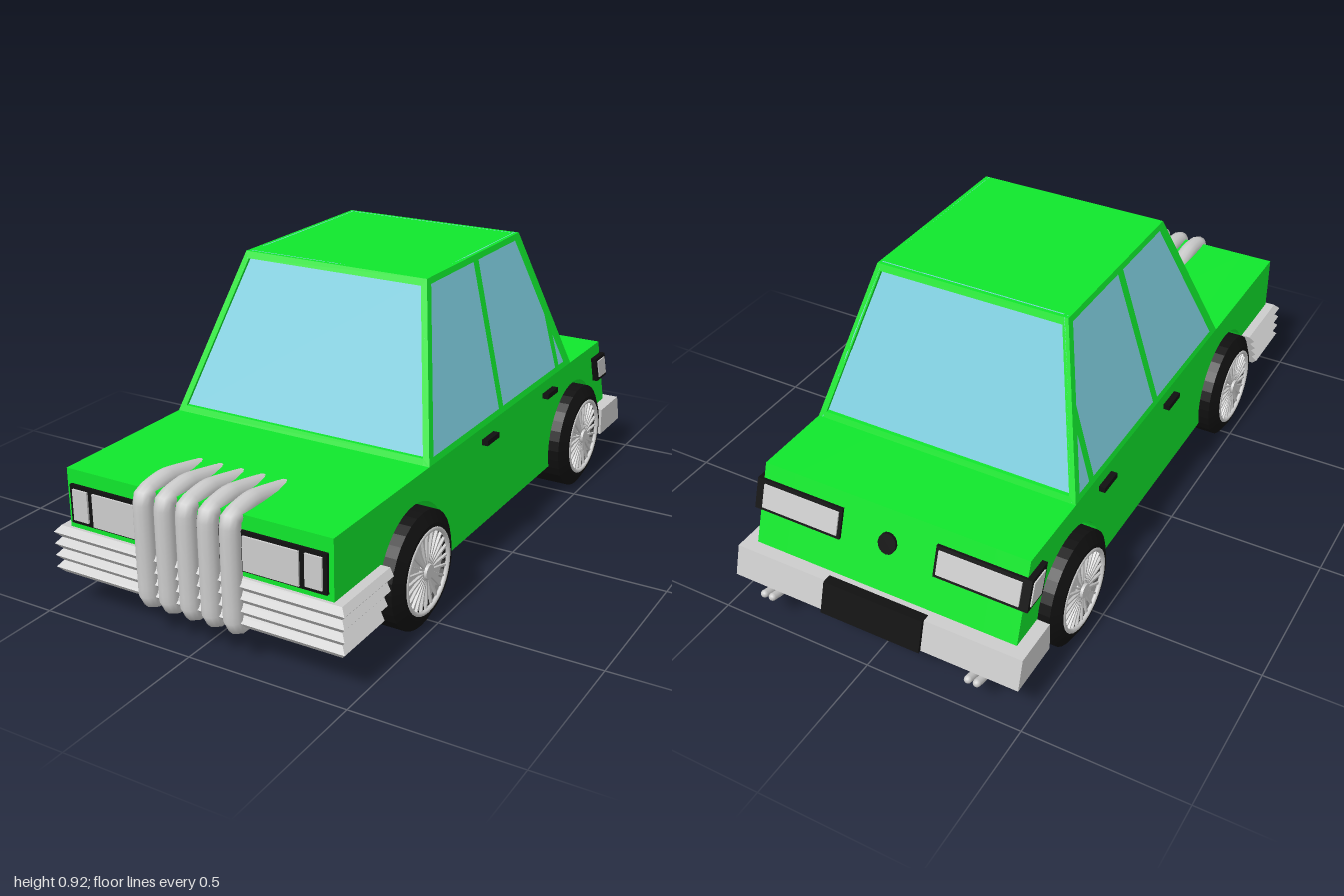
import * as THREE from 'three';

const material = (color, extra = {}) => new THREE.MeshStandardMaterial({ color, ...extra });
const lerp = THREE.MathUtils.lerp;

export function createModel() {
  const car = new THREE.Group();
  car.name = 'car';
  const green = material(0x10e62c);
  const glass = material(0x7fcfe0);
  const black = material(0x101010);
  const grey = material(0xcccccc);

  const add = (name, geometry, mat, parent = car) => {
    const mesh = new THREE.Mesh(geometry, mat);
    mesh.name = name;
    parent.add(mesh);
    return mesh;
  };
  const box = (name, mat, x0, x1, y0, y1, z0, z1, parent) => {
    const g = new THREE.BoxGeometry(x1 - x0, y1 - y0, z1 - z0);
    return add(name, g.translate((x0 + x1) / 2, (y0 + y1) / 2, (z0 + z1) / 2), mat, parent);
  };

  // Flat plate from an outline with holes
  const vectors = pts => pts.map(p => new THREE.Vector2(p[0], p[1]));
  const plate = (pts, depth, holes = []) => {
    const shape = new THREE.Shape(vectors(pts));
    holes.forEach(h => shape.holes.push(new THREE.Path(vectors(h))));
    return new THREE.ExtrudeGeometry(shape, { depth, bevelEnabled: false });
  };
  // Plate facing +z, leaning so that its back lies at rule(y)
  const lean = (g, rule) => {
    const p = g.attributes.position;
    for (let i = 0; i < p.count; i++) p.setZ(i, p.getZ(i) + rule(p.getY(i)));
    g.computeVertexNormals();
    return g;
  };
  // Plate facing +x, outline given as (z, y)
  const sidePlate = (pts, depth, rule, holes = []) => {
    const flip = list => list.map(([z, y]) => [-z, y]);
    return lean(plate(flip(pts), depth, holes.map(flip)), rule).rotateY(Math.PI / 2);
  };
  const rect = (x0, x1, y0, y1) => [[x0, y0], [x1, y0], [x1, y1], [x0, y1]];

  // Left side parts are collected once and mirrored
  const left = new THREE.Group();
  left.name = 'leftSide';

  // Body: solid core plus outer sides with wheel arches
  const wheelZ = [-0.6, 0.535];
  const upper = [[0.95, 0.12], [0.95, 0.445], [-0.823, 0.445], [-0.905, 0.2], [-0.79, 0.12]];
  const arches = [];
  for (const z of wheelZ) {
    for (let i = 0; i <= 24; i++) {
      const a = lerp(Math.PI + 0.293, -0.293, i / 24);
      arches.push([z + 0.19 * Math.cos(a), 0.175 + 0.19 * Math.sin(a)]);
    }
  }
  add('bodyCore', sidePlate(upper, 0.66, () => -0.33), green);
  add('bodySide', sidePlate([...upper, ...arches], 0.105, () => 0.33), green, left);

  // Cabin: leaning frames over recessed glass
  const y0 = 0.445, y1 = 0.918;
  const slope = (a, b, inset) => y => lerp(a, b, (y - y0) / (y1 - y0)) - inset;
  const sideOutline = [[0.445, y0], [0.238, y1], [-0.383, y1], [-0.566, y0]];
  const sideWindows = [
    [[0.43, 0.463], [0.235, 0.9], [-0.05, 0.9], [-0.015, 0.463]],
    [[-0.045, 0.463], [-0.083, 0.9], [-0.377, 0.9], [-0.447, 0.725], [-0.447, 0.463]],
    [[-0.475, 0.463], [-0.475, 0.655], [-0.552, 0.463]],
  ];
  add('cabinSideFrame', sidePlate(sideOutline, 0.02, slope(0.435, 0.31, 0.02), sideWindows), green, left);
  add('sideGlass', sidePlate(sideOutline, 0.004, slope(0.435, 0.31, 0.015)), glass, left);

  const endOutline = [[-0.435, y0], [0.435, y0], [0.31, y1], [-0.31, y1]];
  const endWindow = [[-0.411, 0.463], [0.411, 0.463], [0.297, 0.898], [-0.297, 0.898]];
  [['front', 0.445, 0.238, 0], ['rear', 0.566, 0.383, Math.PI]].forEach(([end, a, b, turn]) => {
    add(end + 'WindowFrame', lean(plate(endOutline, 0.025, [endWindow]), slope(a, b, 0.025)).rotateY(turn), green);
    add(end + 'Glass', lean(plate(rect(-0.42, 0.42, y0, y1).map(([x, y]) =>
      [y > 0.5 ? x * 0.72 : x, y]), 0.004), slope(a, b, 0.016)).rotateY(turn), glass);
  });
  box('roof', green, -0.31, 0.31, 0.9, y1, -0.383, 0.238);

  // Door handles
  for (const z of [0.07, -0.38]) box('doorHandle', black, 0.43, 0.455, 0.39, 0.407, z - 0.04, z + 0.04, left);

  // Headlights on a black grille panel
  box('grillePanel', black, -0.42, 0.42, 0.285, 0.402, 0.94, 0.96);
  box('headlight', grey, 0.165, 0.338, 0.291, 0.391, 0.95, 0.966, left);
  box('indicator', grey, 0.356, 0.408, 0.297, 0.391, 0.95, 0.966, left);

  // Tail lights wrapping round the rear corners
  const tail = y => 0.823 + (0.445 - y) / 3;
  const onTail = (name, pts, mat, out, parent) =>
    add(name, lean(plate(pts, out + 0.01), y => tail(y) - 0.01).rotateY(Math.PI), mat, parent);
  onTail('tailLightSurround', rect(-0.452, -0.155, 0.31, 0.4), black, 0.008, left);
  onTail('tailLight', rect(-0.425, -0.165, 0.321, 0.389), grey, 0.013, left);
  add('tailLightSideSurround',
    sidePlate([[-0.76, 0.4], [-0.846, 0.4], [-0.876, 0.31], [-0.79, 0.31]], 0.022, () => 0.43), black, left);
  add('tailLightSide',
    sidePlate([[-0.777, 0.388], [-0.838, 0.388], [-0.862, 0.322], [-0.802, 0.322]], 0.026, () => 0.43), grey, left);
  const disc = [];
  for (let i = 0; i < 16; i++) {
    disc.push([0.03 * Math.cos(i * Math.PI / 8), 0.35 + 0.03 * Math.sin(i * Math.PI / 8)]);
  }
  onTail('bootLock', disc, black, 0.008);

  // U-shaped bumpers lofted upward through levels [y, halfWidth, frontZ, endZ]
  const bumper = (levels, innerZ) => {
    const rings = levels.map(([y, w, zf, zb]) => [[-w, zb], [-w, zf], [w, zf], [w, zb],
      [0.43, zb], [0.43, innerZ], [-0.43, innerZ], [-0.43, zb]].map(([x, z]) => [x, y, z]));
    const out = [];
    const quad = (a, b, c, d) => out.push(...a, ...b, ...c, ...a, ...c, ...d);
    for (let k = 0; k < rings.length - 1; k++) {
      for (let i = 0; i < 8; i++) {
        const j = (i + 1) % 8;
        quad(rings[k][i], rings[k][j], rings[k + 1][j], rings[k + 1][i]);
      }
    }
    const bottom = rings[0], top = rings[rings.length - 1];
    for (const [a, b, c, d] of [[0, 1, 6, 7], [1, 2, 5, 6], [2, 3, 4, 5]]) {
      quad(top[a], top[b], top[c], top[d]);
      quad(bottom[d], bottom[c], bottom[b], bottom[a]);
    }
    const g = new THREE.BufferGeometry();
    g.setAttribute('position', new THREE.Float32BufferAttribute(out, 3));
    g.computeVertexNormals();
    return g;
  };
  const ribs = [];
  for (let i = 0; i <= 8; i++) {
    const ridge = i % 2 ? 0.016 : 0;
    ribs.push([0.119 + 0.0183 * i, 0.464 + ridge, 0.96 + ridge, lerp(0.78, 0.715, i / 8)]);
  }
  add('frontBumper', bumper(ribs, 0.93), grey);
  add('rearBumper', bumper([[0.113, 0.475, 0.97, 0.79], [0.205, 0.475, 0.943, 0.79]], 0.88).rotateY(Math.PI), grey);
  add('rearPlate', lean(plate(rect(-0.165, 0.165, 0.112, 0.208), 0.03),
    y => 0.95 - (y - 0.113) * 0.29).rotateY(Math.PI), black);

  // Pipes: bent tubes with rounded ends, path given as (z, y)
  const pipe = (name, x, pts, r, parent) => {
    const path = pts.map(([z, y]) => new THREE.Vector3(x, y, z));
    const curve = new THREE.CatmullRomCurve3(path, false, 'catmullrom', 0.3);
    add(name, new THREE.TubeGeometry(curve, 32, r, 12), grey, parent);
    for (const p of [path[0], path[path.length - 1]]) {
      add(name + 'End', new THREE.SphereGeometry(r, 12, 8).translate(p.x, p.y, p.z), grey, parent);
    }
  };
  for (let i = -2; i <= 2; i++) {
    pipe('hoodPipe', -0.009 + i * 0.071,
      [[0.86, 0.13], [0.93, 0.113], [0.967, 0.13], [0.97, 0.2], [0.97, 0.41], [0.955, 0.436], [0.87, 0.446], [0.72, 0.418]], 0.029, car);
  }
  for (const x of [0.33, 0.358]) {
    pipe('exhaustPipe', x, [[-0.82, 0.112], [-0.89, 0.095], [-0.95, 0.093], [-0.988, 0.103]], 0.012, left);
  }

  // Wheels: tyre, rim and wire spokes, axle along x
  const lathe = (pts, segments) =>
    new THREE.LatheGeometry(vectors(pts), segments).rotateZ(-Math.PI / 2);
  const tyreMat = material(0x101010, { flatShading: true });
  for (const z of wheelZ) {
    const wheel = new THREE.Group();
    wheel.name = 'wheel';
    wheel.position.set(0.41, 0.175, z);
    left.add(wheel);
    add('tyre', lathe([[0, -0.075], [0.14, -0.075], [0.175, -0.055], [0.175, 0.055],
      [0.14, 0.075], [0.127, 0.075], [0.124, 0.05], [0, 0.05]], 32), tyreMat, wheel);
    add('rimDisc', lathe([[0.126, 0.052], [0.03, 0.058], [0, 0.058]], 32), grey, wheel);
    add('rimRing', new THREE.TorusGeometry(0.123, 0.007, 8, 32).rotateY(Math.PI / 2).translate(0.072, 0, 0), grey, wheel);
    add('hub', new THREE.CylinderGeometry(0.022, 0.028, 0.03, 16).rotateZ(-Math.PI / 2).translate(0.065, 0, 0), grey, wheel);
    for (let i = 0; i < 24; i++) {
      const spoke = new THREE.BoxGeometry(0.008, 0.1, 0.006).translate(0.068, 0.072, 0);
      add('spoke', spoke.rotateX(i * Math.PI / 12), grey, wheel);
    }
  }

  const right = left.clone();
  right.name = 'rightSide';
  right.scale.x = -1;
  car.add(left, right);
  return car;
}
